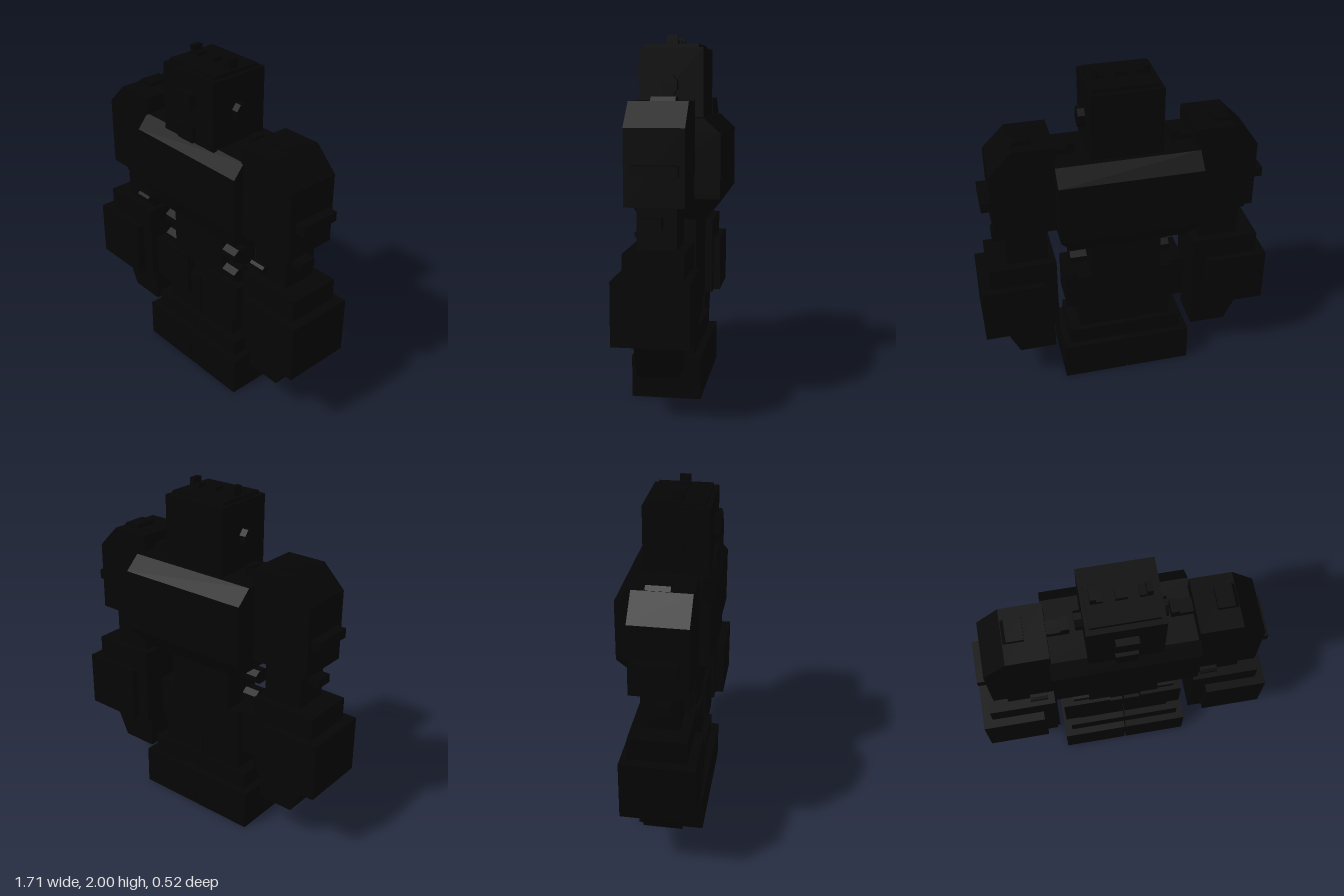
import * as THREE from 'three';

const black = new THREE.MeshStandardMaterial({ color: 0x050505, flatShading: true });
black.name = 'black';

// Box given by its limits on each axis
function box(name, x0, x1, y0, y1, z0, z1) {
  const mesh = new THREE.Mesh(new THREE.BoxGeometry(x1 - x0, y1 - y0, z1 - z0), black);
  mesh.position.set((x0 + x1) / 2, (y0 + y1) / 2, (z0 + z1) / 2);
  mesh.name = name;
  return mesh;
}

// Solid through stacked rectangles [y, x0, x1, z0, z1], listed from bottom to top
function loft(name, levels) {
  const pos = [], index = [];
  for (const [y, x0, x1, z0, z1] of levels) pos.push(x0, y, z1, x1, y, z1, x1, y, z0, x0, y, z0);
  for (let i = 0; i < levels.length - 1; i++) {
    for (let k = 0; k < 4; k++) {
      const a = i * 4 + k, b = i * 4 + (k + 1) % 4;
      index.push(a, b, b + 4, a, b + 4, a + 4);
    }
  }
  const t = (levels.length - 1) * 4;
  index.push(0, 2, 1, 0, 3, 2, t, t + 1, t + 2, t, t + 2, t + 3);
  const geo = new THREE.BufferGeometry();
  geo.setAttribute('position', new THREE.Float32BufferAttribute(pos, 3));
  geo.setIndex(index);
  const flat = geo.toNonIndexed();
  flat.computeVertexNormals();
  const mesh = new THREE.Mesh(flat, black);
  mesh.name = name;
  return mesh;
}

// Eight-sided rod lying along x, with oval section
function rod(name, x0, x1, y, z, ry, rz) {
  const geo = new THREE.CylinderGeometry(1, 1, x1 - x0, 8);
  geo.rotateY(Math.PI / 8).rotateZ(Math.PI / 2);
  const s = 1 / Math.cos(Math.PI / 8);
  geo.scale(1, ry * s, rz * s);
  geo.translate((x0 + x1) / 2, y, z);
  const mesh = new THREE.Mesh(geo, black);
  mesh.name = name;
  return mesh;
}

// Limits of a box mirrored to side s
const sided = (s, a, b) => (s > 0 ? [a, b] : [-b, -a]);

function buildHead() {
  const head = new THREE.Group();
  head.name = 'head';
  head.add(
    box('skull', -0.2, 0.2, 1.54, 1.93, -0.14, 0.22),
    box('skullCap', -0.18, 0.175, 1.93, 1.95, -0.11, 0.19),
    box('nose', -0.06, 0.06, 1.74, 1.83, 0.21, 0.26),
    box('chin', -0.06, 0.06, 1.55, 1.64, 0.21, 0.245),
    box('crownStud', -0.03, 0.03, 1.94, 1.975, 0.01, 0.07)
  );
  for (const s of [-1, 1]) {
    head.add(
      box('crownStep', ...sided(s, 0.09, 0.155), 1.94, 1.97, 0.01, 0.07),
      box('crownHorn', ...sided(s, 0.125, 0.155), 1.96, 2.0, 0.01, 0.07),
      rod('ear', ...sided(s, 0.19, 0.24), 1.725, 0.045, 0.055, 0.045)
    );
  }
  return head;
}

function buildTorso() {
  const torso = new THREE.Group();
  torso.name = 'torso';
  torso.add(
    loft('chest', [
      [1.0, -0.335, 0.335, -0.17, 0.19],
      [1.12, -0.402, 0.402, -0.257, 0.25],
      [1.15, -0.402, 0.402, -0.257, 0.257],
      [1.47, -0.402, 0.402, -0.257, 0.257],
      [1.55, -0.402, 0.402, -0.17, 0.19]
    ]),
    box('waist', -0.21, 0.205, 0.7, 1.01, -0.1, 0.16),
    box('pelvis', -0.28, 0.28, 0.45, 0.72, -0.09, 0.13)
  );
  for (const s of [-1, 1]) {
    torso.add(
      rod('upperWaistRod', ...sided(s, 0.15, 0.305), 0.892, 0.1, 0.042, 0.06),
      rod('lowerWaistRod', ...sided(s, 0.15, 0.305), 0.76, 0.1, 0.042, 0.06),
      box('collarPlate', ...sided(s, 0.27, 0.4), 1.54, 1.585, -0.04, 0.04),
      box('collarStud', ...sided(s, 0.27, 0.315), 1.57, 1.61, -0.04, 0.04)
    );
  }
  torso.add(
    box('rightHipPanel', -0.37, -0.085, 0.45, 0.72, -0.05, 0.18),
    box('leftHipPanel', 0.1, 0.35, 0.48, 0.72, -0.05, 0.18)
  );
  return torso;
}

function buildLeg(s) {
  const leg = new THREE.Group();
  leg.name = s > 0 ? 'leftLeg' : 'rightLeg';
  leg.add(
    box('thigh', ...sided(s, 0.005, 0.282), 0.3, 0.6, -0.075, 0.15),
    box('ankle', ...sided(s, 0.003, 0.345), 0.22, 0.335, -0.11, 0.19),
    box('foot', ...sided(s, 0.003, 0.39), 0, 0.235, -0.152, 0.232)
  );
  return leg;
}

function buildArm(s) {
  const arm = new THREE.Group();
  arm.name = s > 0 ? 'leftArm' : 'rightArm';
  const level = (y, x0, x1, z0, z1) => [y, ...sided(s, x0, x1), z0, z1];
  arm.add(
    // Shoulder with a sloping outer edge and a short ridge on top
    loft('shoulder', [
      level(1.115, 0.39, 0.748, -0.12, 0.195),
      level(1.515, 0.39, 0.748, -0.12, 0.195),
      level(1.645, 0.39, 0.62, -0.12, 0.195)
    ]),
    loft('shoulderRidge', [
      level(1.63, 0.505, 0.63, -0.05, 0.08),
      level(1.667, 0.505, 0.598, -0.05, 0.08)
    ]),
    box('shoulderBar', ...sided(s, 0.74, 0.805), 1.275, 1.33, -0.09, 0.15),
    box('upperArm', ...sided(s, 0.452, 0.685), 0.86, 1.13, -0.07, 0.14),
    box('elbowStud', ...sided(s, 0.67, 0.755), 1.01, 1.06, 0.0, 0.1),
    rod('elbowKnob', ...sided(s, 0.45, 0.55), 0.945, 0.155, 0.022, 0.025),
    box('forearm', ...sided(s, 0.413, 0.8), 0.42, 0.887, -0.12, 0.195),
    box('forearmGuard', ...sided(s, 0.493, 0.857), 0.42, 0.757, -0.16, 0.245),
    loft('hand', [
      level(0.205, 0.435, 0.655, -0.07, 0.15),
      level(0.42, 0.435, 0.755, -0.07, 0.15)
    ])
  );
  return arm;
}

export function createModel() {
  const model = new THREE.Group();
  model.name = 'blockRobot';
  model.add(buildHead(), buildTorso());
  for (const s of [-1, 1]) model.add(buildLeg(s), buildArm(s));
  return model;
}
